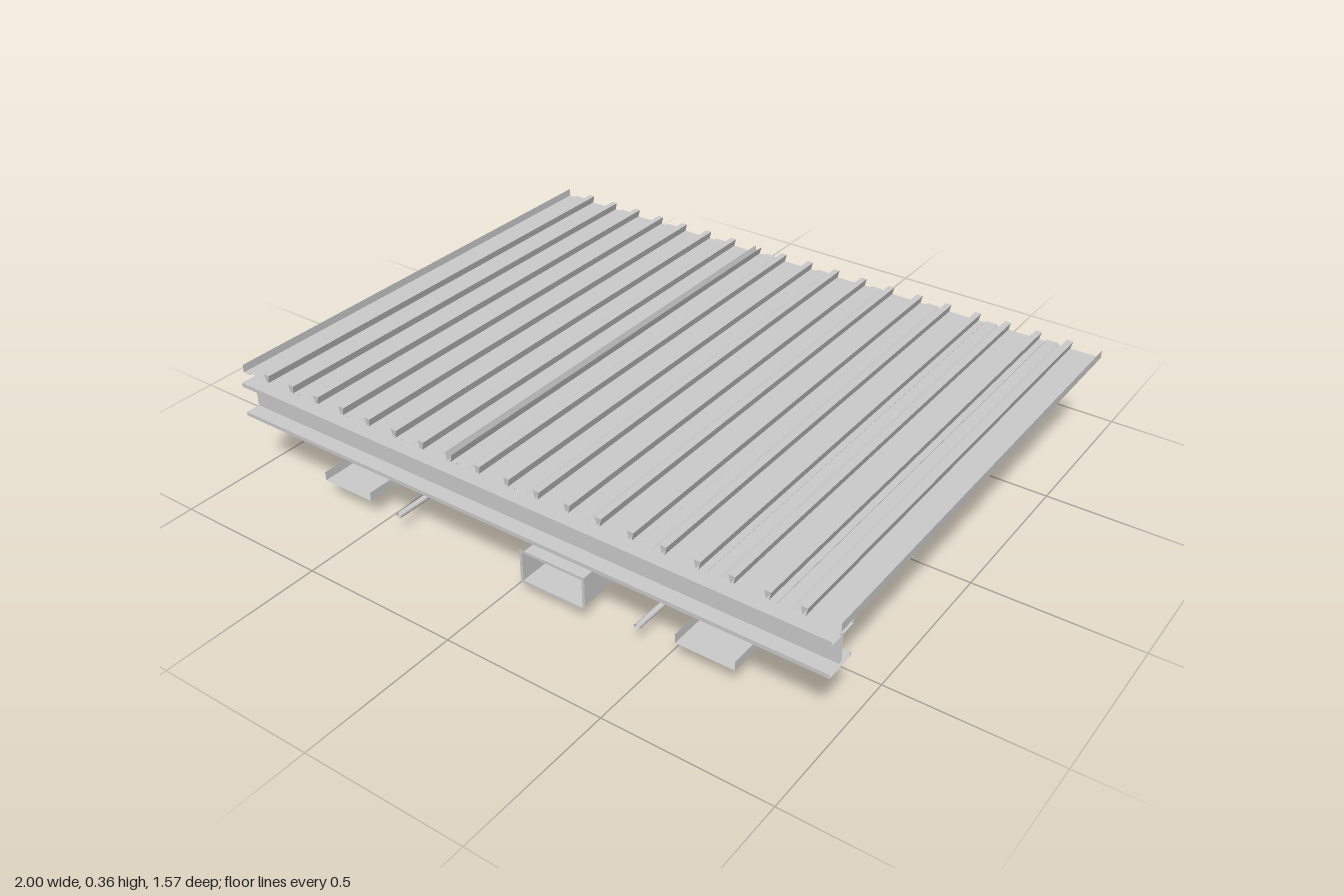
import * as THREE from 'three';

const mat = new THREE.MeshStandardMaterial({ color: 0xcccccc, side: THREE.DoubleSide });
const BACK = -0.785, FRONT = 0.737;

// Thin sheet: sweeps a cross-section [[x, y], ...] along z from z0 to z1
function sheet(points, z0, z1, closed = false) {
  const pos = [];
  const n = closed ? points.length : points.length - 1;
  for (let i = 0; i < n; i++) {
    const [ax, ay] = points[i], [bx, by] = points[(i + 1) % points.length];
    pos.push(ax, ay, z0, bx, by, z1, bx, by, z0, ax, ay, z0, ax, ay, z1, bx, by, z1);
  }
  const g = new THREE.BufferGeometry();
  g.setAttribute('position', new THREE.Float32BufferAttribute(pos, 3));
  g.computeVertexNormals();
  return g;
}

function add(parent, name, geometry, x = 0, y = 0, z = 0) {
  const m = new THREE.Mesh(geometry, mat);
  m.name = name;
  m.position.set(x, y, z);
  parent.add(m);
  return m;
}

function group(parent, name, x = 0) {
  const g = new THREE.Group();
  g.name = name;
  g.position.x = x;
  parent.add(g);
  return g;
}

function rod(parent, name, x, y0, y1, z, r = 0.003) {
  add(parent, name, new THREE.CylinderGeometry(r, r, y1 - y0, 8), x, (y0 + y1) / 2, z);
}

export function createModel() {
  const model = new THREE.Group();
  model.name = 'suspendedCeilingServices';
  const hangers = [0.36, -0.4];

  // Ribbed metal deck: pans with dovetail ribs, alternate pans stiffened
  const deck = group(model, 'metalDeck');
  const y0 = 0.335, y1 = 0.36;
  let profile = [[-1, y1], [-1, y0]];
  for (let k = 0; k < 20; k++) {
    const x = -1 + k * 0.1;
    if (k > 0) {
      if (k === 8) {
        // open joint between two deck runs
        profile.push([x - 0.006, y0], [x - 0.012, y1]);
        add(deck, 'deckSheet', sheet(profile, BACK, FRONT));
        profile = [[x + 0.012, y1], [x + 0.005, y0]];
      } else {
        profile.push([x - 0.004, y0], [x - 0.01, y1], [x + 0.01, y1], [x + 0.004, y0]);
      }
    }
    if (k % 2 === 0) {
      profile.push([x + 0.025, y0], [x + 0.03, y0 + 0.006], [x + 0.065, y0 + 0.006], [x + 0.07, y0]);
    }
  }
  profile.push([1, y0], [1, y1]);
  add(deck, 'deckSheet', sheet(profile, BACK, FRONT));

  // I-section edge beam along the front
  const w = 0.05, h = 0.055, t = 0.012, c = 0.004;
  const iSection = [[-w, -h], [w, -h], [w, t - h], [c, t - h], [c, h - t], [w, h - t],
    [w, h], [-w, h], [-w, h - t], [-c, h - t], [-c, t - h], [-w, t - h]];
  add(model, 'edgeBeam', sheet(iSection, -0.96, 1, true), 0, 0.279, 0.73).rotation.y = Math.PI / 2;

  // Strut channels under the deck that carry the hangers
  for (const z of hangers) {
    const strut = [[-0.004, 0], [-0.01, 0], [-0.01, 0.02], [0.01, 0.02], [0.01, 0], [0.004, 0]];
    add(model, 'strutChannel', sheet(strut, -0.98, 0.99), 0, 0.314, z).rotation.y = Math.PI / 2;
  }

  // Cable trays with their trapeze hangers and louvred lights
  for (const x of [-0.615, 0.626]) {
    const tray = group(model, 'cableTrayAssembly', x);
    add(tray, 'cableTray', sheet([[-0.09, 0.1], [-0.09, 0.072], [0.09, 0.072], [0.09, 0.1]], BACK, FRONT));
    for (const z of hangers) {
      rod(tray, 'trayRod', -0.09, 0.095, 0.316, z);
      rod(tray, 'trayRod', 0.09, 0.09, 0.316, z, 0.002);
      add(tray, 'trapezeBar', new THREE.BoxGeometry(0.18, 0.006, 0.006), 0, 0.183, z);
      add(tray, 'lightBracket', new THREE.BoxGeometry(0.074, 0.015, 0.068), 0, 0.064, z > 0 ? z - 0.034 : z + 0.034);
    }
    // light housing open at the bottom
    const light = group(tray, 'louvredLight');
    add(light, 'lightHousing', sheet([[-0.037, 0], [-0.037, 0.056], [0.037, 0.056], [0.037, 0]], -0.6, 0.557));
    for (const z of [-0.6, 0.557]) add(light, 'lightEnd', new THREE.PlaneGeometry(0.074, 0.056), 0, 0.028, z);
    const slats = 22;
    for (let i = 1; i < slats; i++) {
      add(light, 'louvreSlat', new THREE.BoxGeometry(0.074, 0.02, 0.005), 0, 0.01, -0.6 + (1.157 * i) / slats);
    }
  }

  // Rectangular air duct with flanged ends
  const duct = group(model, 'airDuct', 0.139);
  const dw = 0.1, y = 0.09, dh = 0.046, f = 0.009;
  add(duct, 'ductWalls', sheet([[-dw, y - dh], [dw, y - dh], [dw, y + dh], [-dw, y + dh]], BACK, FRONT, true));
  const rect = (S, a, b) => new S([[-a, -b], [a, -b], [a, b], [-a, b]].map(p => new THREE.Vector2(...p)));
  const flange = rect(THREE.Shape, dw + f, dh + f);
  flange.holes.push(rect(THREE.Path, dw, dh));
  for (const z of [BACK, FRONT]) add(duct, 'ductFlange', new THREE.ShapeGeometry(flange), 0, y, z);
  for (const z of hangers) {
    for (const s of [-1, 1]) rod(duct, 'ductRod', s * 0.108, 0.07, 0.316, z, s > 0 ? 0.003 : 0.002);
    add(duct, 'ductSupport', new THREE.BoxGeometry(0.218, 0.006, 0.01), 0, 0.041, z);
  }

  // Sprinkler pipes with ring hangers and heads
  for (const x of [-0.418, 0.416]) {
    const line = group(model, 'sprinklerLine', x);
    const pipe = new THREE.CylinderGeometry(0.009, 0.009, FRONT - BACK, 16, 1, true).rotateX(Math.PI / 2);
    add(line, 'sprinklerPipe', pipe, 0, 0.065, (FRONT + BACK) / 2);
    for (const z of hangers) {
      rod(line, 'pipeRod', 0, 0.08, 0.316, z, 0.002);
      add(line, 'pipeRing', new THREE.TorusGeometry(0.011, 0.003, 6, 16), 0, 0.067, z);
    }
    for (const z of [-0.55, 0, 0.55]) {
      const head = [[0, 0.012], [0.01, 0.012], [0.01, 0.015], [0.003, 0.017], [0.003, 0.03], [0.007, 0.034], [0.007, 0.058]];
      add(line, 'sprinklerHead', new THREE.LatheGeometry(head.map(p => new THREE.Vector2(...p)), 12), 0, 0, z);
    }
  }
  return model;
}
